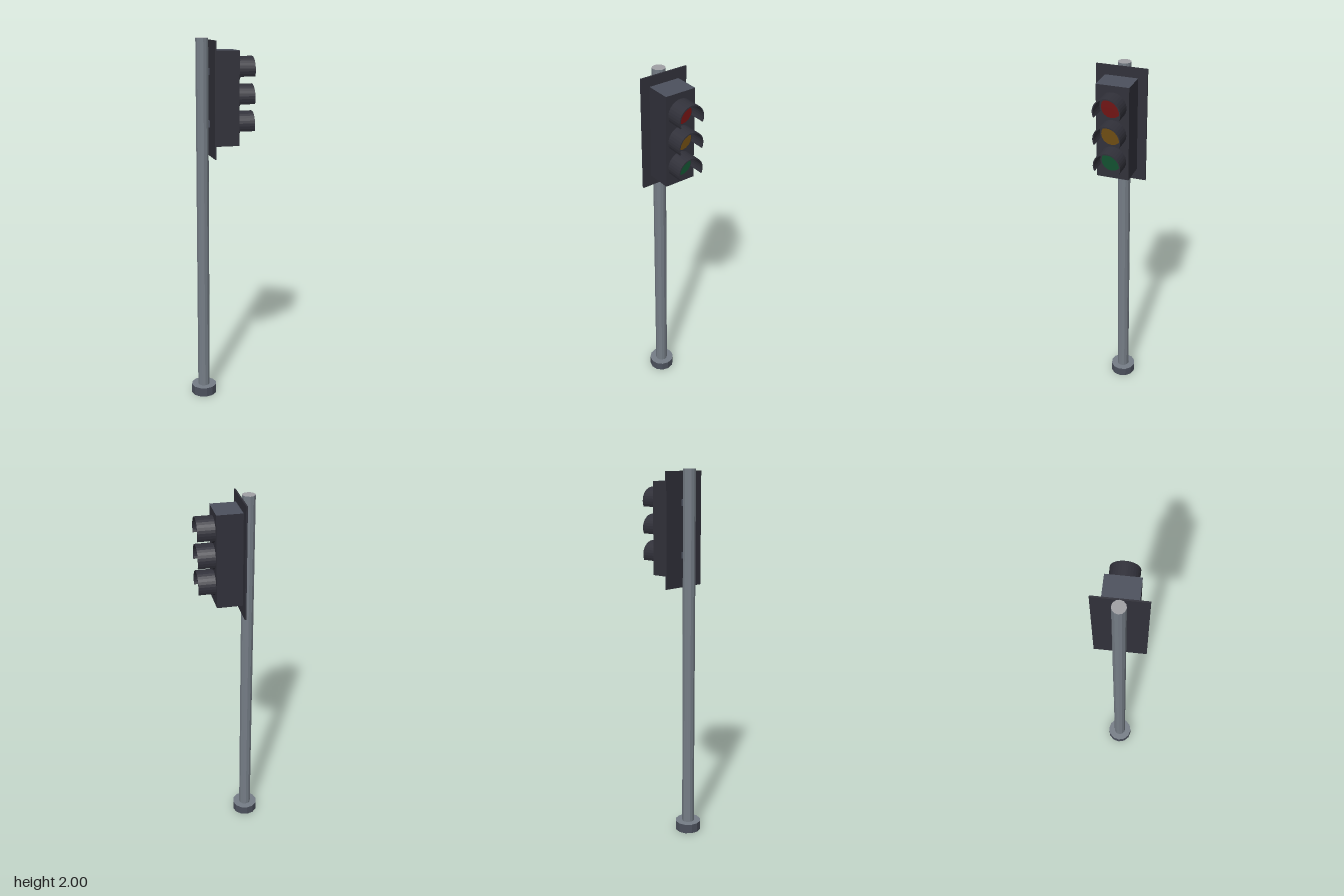
import * as THREE from 'three';

const mat = (name, color) => {
  const m = new THREE.MeshStandardMaterial({ color });
  m.name = name;
  return m;
};

// Split the corners so every side is a flat facet
function faceted(geometry) {
  const g = geometry.index ? geometry.toNonIndexed() : geometry;
  g.computeVertexNormals();
  return g;
}

export function createModel() {
  const lightGrey = mat('light grey', 0xa0a0a4);
  const steel = mat('steel grey', 0x757d86);
  const slate = mat('slate grey', 0x4c515d);
  const charcoal = mat('charcoal', 0x31313a);
  const red = mat('red lens', 0x701313);
  const amber = mat('amber lens', 0x6e4c12);
  const green = mat('green lens', 0x125030);

  const model = new THREE.Group();
  model.name = 'trafficLight';

  const add = (name, geometry, material, x, y, z = 0, parent = model) => {
    const mesh = new THREE.Mesh(faceted(geometry), material);
    mesh.name = name;
    mesh.position.set(x, y, z);
    parent.add(mesh);
    return mesh;
  };

  // Foot and pole: side, top and bottom materials
  add('base', new THREE.CylinderGeometry(0.071, 0.071, 0.052, 12),
    [slate, steel, lightGrey], -0.1, 0.026);
  add('pole', new THREE.CylinderGeometry(0.034, 0.034, 2, 12),
    [steel, lightGrey, lightGrey], -0.1, 1);

  // Back plate and the brackets holding it to the pole
  add('backPlate', new THREE.BoxGeometry(0.008, 0.6, 0.266), charcoal, -0.059, 1.69);
  for (const y of [1.56, 1.83]) {
    add('bracket', new THREE.BoxGeometry(0.03, 0.035, 0.036), slate, -0.075, y);
  }

  // Signal housing with a lighter roof and underside
  add('housing', new THREE.BoxGeometry(0.134, 0.49, 0.17),
    [charcoal, charcoal, slate, lightGrey, charcoal, charcoal], 0.012, 1.694);

  // Hood: an arched strip, open at the bottom
  const dip = 0.43;
  const arch = new THREE.Shape();
  arch.absarc(0, 0, 0.072, -dip, Math.PI + dip, false);
  arch.absarc(0, 0, 0.066, Math.PI + dip, -dip, true);
  arch.closePath();
  const hoodGeometry = new THREE.ExtrudeGeometry(arch,
    { depth: 0.09, bevelEnabled: false, curveSegments: 10 });
  hoodGeometry.rotateY(Math.PI / 2);

  // Three lamps, each with a short rim, coloured lens and hood
  const lamps = [['redLamp', red, 1.835], ['amberLamp', amber, 1.693], ['greenLamp', green, 1.551]];
  for (const [name, lensMaterial, y] of lamps) {
    const lamp = new THREE.Group();
    lamp.name = name;
    lamp.position.set(0.079, y, 0);
    model.add(lamp);
    const rim = new THREE.CylinderGeometry(0.062, 0.062, 0.012, 16).rotateZ(-Math.PI / 2);
    add('rim', rim, charcoal, 0.006, 0, 0, lamp);
    const lens = new THREE.CylinderGeometry(0.053, 0.053, 0.006, 16).rotateZ(-Math.PI / 2);
    add('lens', lens, [charcoal, lensMaterial, charcoal], 0.014, 0, 0, lamp);
    add('hood', hoodGeometry, charcoal, 0, 0, 0, lamp);
  }

  return model;
}
